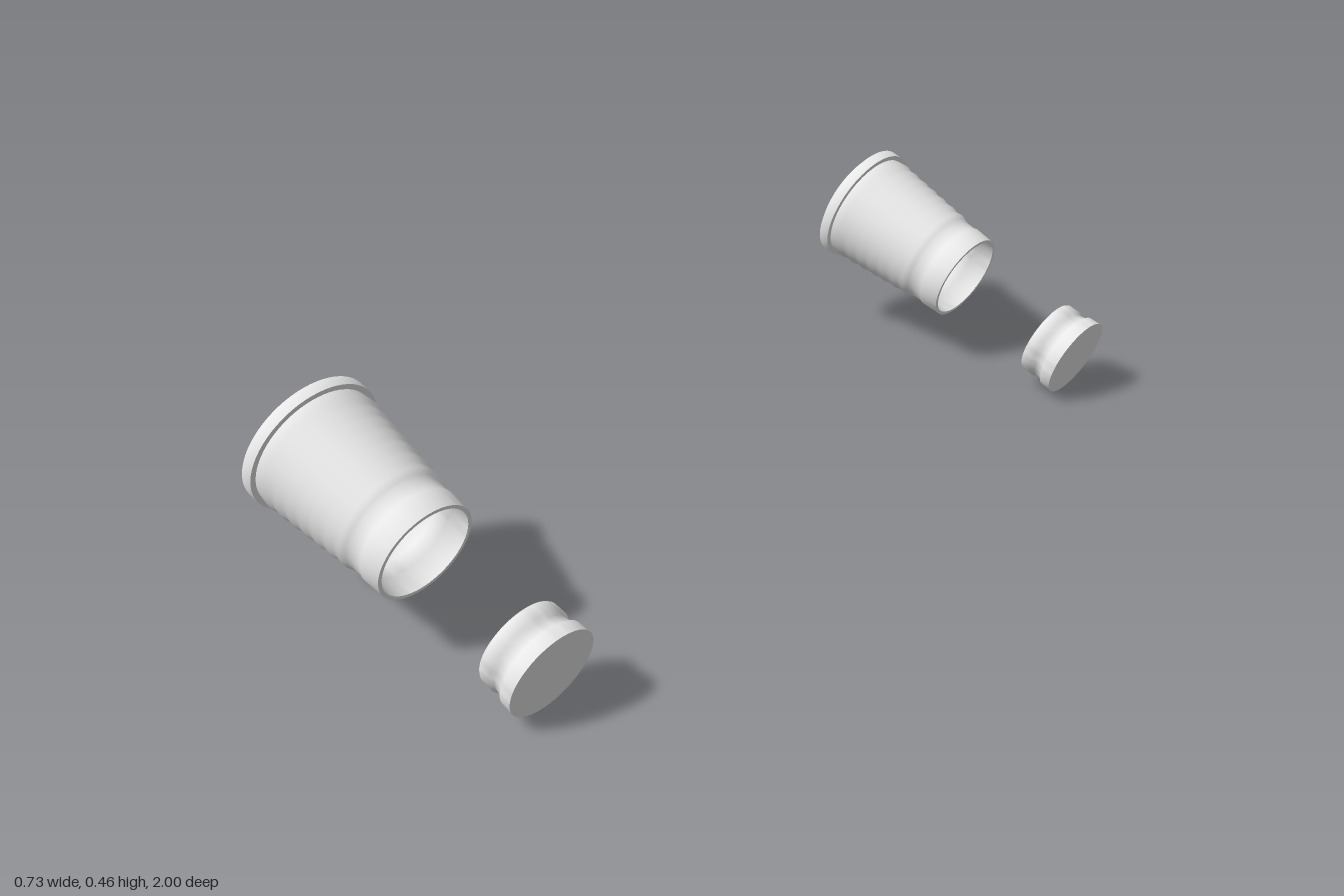
import * as THREE from 'three';
import { toCreasedNormals } from 'three/addons/utils/BufferGeometryUtils.js';

const SEGMENTS = 64;
const TILT = THREE.MathUtils.degToRad(70);

// Revolve [radius, height] pairs; only near-square edges stay hard
function revolve(name, profile, material) {
  const points = profile.map(([r, y]) => new THREE.Vector2(r, y));
  const geometry = toCreasedNormals(new THREE.LatheGeometry(points, SEGMENTS), 1.1);
  const mesh = new THREE.Mesh(geometry, material);
  mesh.name = name;
  return mesh;
}

// Ribbed, tapering sleeve wall from the open end up to the flange
function sleeveWall() {
  const wall = [[0.108, 0], [0.111, 0.048], [0.1085, 0.052], [0.1095, 0.08]];
  const ribs = 7, pitch = 0.0325;
  for (let i = 0; i < ribs; i++) {
    const y = 0.088 + i * pitch;
    const r = 0.1165 + 0.0195 * i / (ribs - 1);
    wall.push([r - 0.004, y], [r + 0.001, y + 0.014]);
  }
  wall.push([0.134, 0.3225]);
  return wall;
}

export function createModel() {
  const model = new THREE.Group();
  model.name = 'gripPair';
  const grey = new THREE.MeshStandardMaterial({ color: 0xe7e7e7 });
  grey.name = 'light grey';

  // Hollow sleeve: inner wall, rim, outer wall, flange and domed cap
  const wall = sleeveWall();
  const inner = wall.map(([r, y]) => [r - 0.008, y]).reverse();
  const cupProfile = [
    [0, 0.335], [0.12, 0.335], ...inner, ...wall,
    [0.1456, 0.3225], [0.1456, 0.348],
    [0.128, 0.358], [0.102, 0.365], [0, 0.3655],
  ];

  // Solid end plug: wide outer disc, groove, inner collar
  const plugProfile = [
    [0, 0], [0.0972, 0], [0.0955, 0.028], [0.0895, 0.032], [0.086, 0.053],
    [0.092, 0.059], [0.0915, 0.085], [0.088, 0.09], [0, 0.09],
  ];

  for (const side of [1, -1]) {
    const unit = new THREE.Group();
    unit.name = side > 0 ? 'frontUnit' : 'backUnit';
    const plug = revolve('endPlug', plugProfile, grey);
    plug.position.y = -0.341;
    unit.add(revolve('ribbedCup', cupProfile, grey), plug);
    unit.rotation.z = TILT;
    unit.position.set(0.0125, 0.209, side * 0.8544);
    model.add(unit);
  }
  return model;
}
